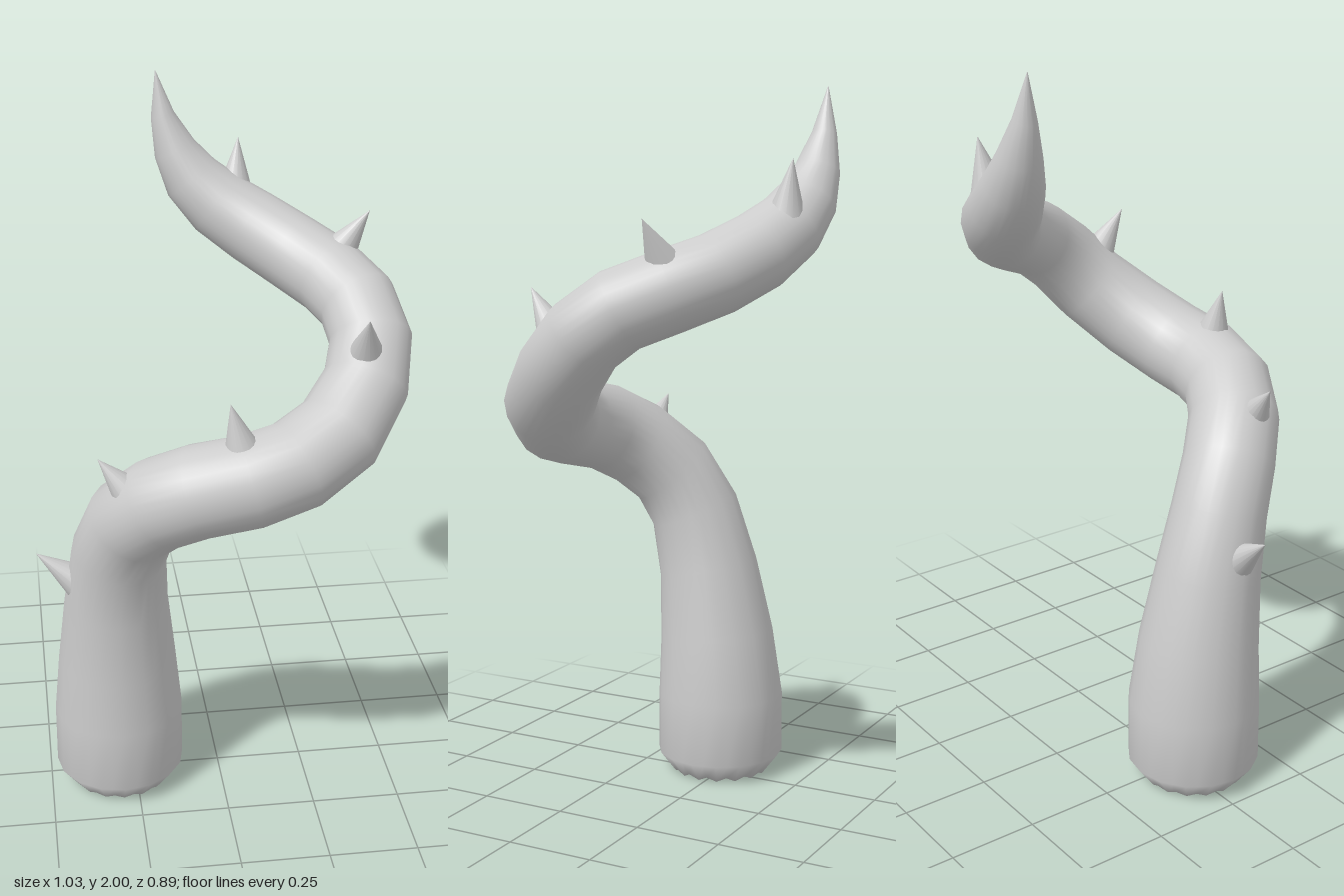
import * as THREE from 'three';

const SIDES = 32;

// Centre line of the tentacle: x, y, z, radius
const RINGS = [
  [-0.295, 0.00, 0.02, 0.14],
  [-0.295, 0.06, 0.02, 0.186],
  [-0.295, 0.24, 0.02, 0.185],
  [-0.296, 0.42, 0.034, 0.168],
  [-0.296, 0.62, 0.063, 0.146],
  [-0.287, 0.79, 0.105, 0.132],
  [-0.252, 0.91, 0.165, 0.128],
  [-0.18, 0.995, 0.24, 0.127],
  [-0.085, 1.05, 0.295, 0.126],
  [0.045, 1.08, 0.318, 0.125],
  [0.17, 1.11, 0.295, 0.124],
  [0.29, 1.17, 0.24, 0.123],
  [0.378, 1.265, 0.148, 0.117],
  [0.407, 1.36, 0.06, 0.112],
  [0.388, 1.43, -0.035, 0.11],
  [0.33, 1.475, -0.14, 0.109],
  [0.24, 1.52, -0.235, 0.107],
  [0.14, 1.575, -0.305, 0.104],
  [0.045, 1.635, -0.345, 0.096],
  [-0.025, 1.705, -0.365, 0.082],
  [-0.07, 1.785, -0.375, 0.06],
  [-0.102, 1.88, -0.379, 0.033],
  [-0.12, 2.00, -0.38, 0.001],
];

// Thorns: base centre, tip
const THORNS = [
  [[-0.415, 0.70, 0.08], [-0.515, 0.78, 0.075]],
  [[-0.275, 1.04, 0.235], [-0.345, 1.125, 0.225]],
  [[0.018, 1.19, 0.325], [-0.01, 1.305, 0.33]],
  [[0.37, 1.375, 0.18], [0.36, 1.48, 0.25]],
  [[0.37, 1.56, -0.145], [0.435, 1.66, -0.127]],
  [[0.10, 1.685, -0.365], [0.11, 1.81, -0.385]],
];

// Sweeps a faceted ring along the centre line without twisting it
function tentacleGeometry() {
  const centres = RINGS.map(([x, y, z]) => new THREE.Vector3(x, y, z));
  const last = RINGS.length - 1;
  const side = new THREE.Vector3(1, 0, 0);
  const pos = [], index = [];
  centres.forEach((c, i) => {
    const tangent = centres[Math.min(i + 1, last)].clone().sub(centres[Math.max(i - 1, 0)]).normalize();
    if (i < 3) tangent.set(0, 1, 0);
    side.addScaledVector(tangent, -side.dot(tangent)).normalize();
    const other = new THREE.Vector3().crossVectors(side, tangent);
    for (let j = 0; j < SIDES; j++) {
      const a = (j / SIDES) * Math.PI * 2;
      // sixteen flats around, with a toothed lower rim
      const r = RINGS[i][3] * (j % 2 ? (i ? Math.cos(Math.PI / 16) : 1.06) : 1);
      const p = c.clone().addScaledVector(side, r * Math.cos(a)).addScaledVector(other, r * Math.sin(a));
      if (i === 0 && j % 2) p.y += 0.014;
      pos.push(p.x, p.y, p.z);
    }
  });
  for (let i = 0; i < last; i++) {
    for (let j = 0; j < SIDES; j++) {
      const k = (j + 1) % SIDES;
      const a = i * SIDES + j, b = i * SIDES + k;
      index.push(a, a + SIDES, b, b, a + SIDES, b + SIDES);
    }
  }
  // underside
  const centre = pos.length / 3;
  pos.push(RINGS[0][0], 0, RINGS[0][2]);
  for (let j = 0; j < SIDES; j++) index.push(centre, j, (j + 1) % SIDES);

  const geo = new THREE.BufferGeometry();
  geo.setAttribute('position', new THREE.Float32BufferAttribute(pos, 3));
  geo.setIndex(index);
  geo.computeVertexNormals();
  return geo;
}

export function createModel() {
  const group = new THREE.Group();
  group.name = 'thornyTentacle';
  const material = new THREE.MeshStandardMaterial({ color: 0xcccccc });

  const body = new THREE.Mesh(tentacleGeometry(), material);
  body.name = 'tentacle';
  group.add(body);

  // Thorns, each sunk a little into the skin
  const up = new THREE.Vector3(0, 1, 0);
  const sink = 0.025;
  THORNS.forEach(([from, to], i) => {
    const base = new THREE.Vector3(...from), tip = new THREE.Vector3(...to);
    const dir = tip.clone().sub(base);
    const height = dir.length() + sink;
    dir.normalize();
    const thorn = new THREE.Mesh(new THREE.ConeGeometry(0.052, height, 16), material);
    thorn.name = `thorn${i + 1}`;
    thorn.position.copy(tip).addScaledVector(dir, -height / 2);
    thorn.quaternion.setFromUnitVectors(up, dir);
    group.add(thorn);
  });
  return group;
}
